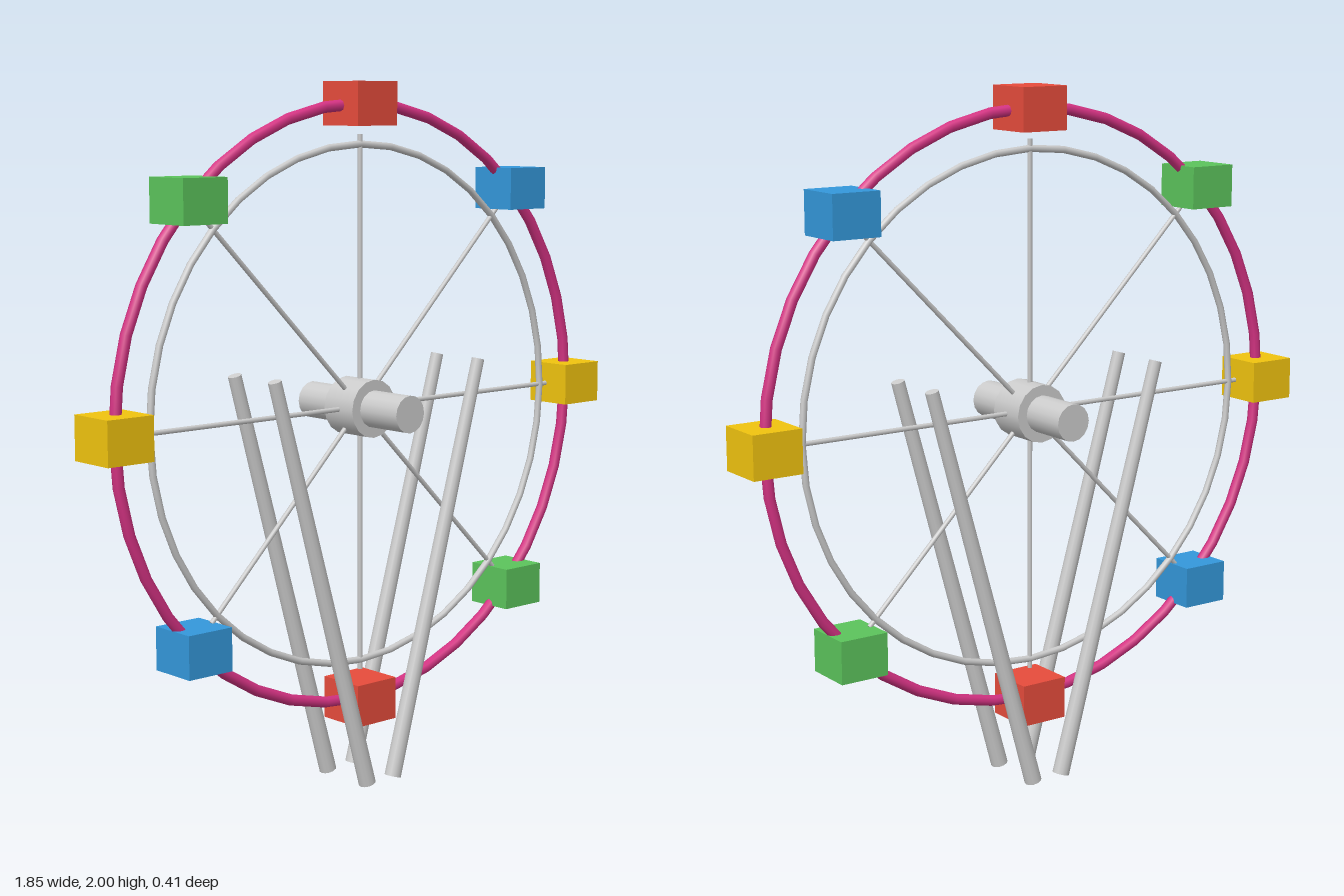
import * as THREE from 'three';

const HUB_Y = 1.088, RIM_R = 0.852;

const material = (color) => new THREE.MeshStandardMaterial({ color });

function add(parent, name, geometry, mat) {
  const mesh = new THREE.Mesh(geometry, mat);
  mesh.name = name;
  parent.add(mesh);
  return mesh;
}

// Tapered round bar running from a to b
function addBar(parent, name, a, b, rA, rB, sides, mat) {
  const dir = b.clone().sub(a);
  const bar = add(parent, name, new THREE.CylinderGeometry(rB, rA, dir.length(), sides), mat);
  bar.position.copy(a).addScaledVector(dir, 0.5);
  bar.quaternion.setFromUnitVectors(new THREE.Vector3(0, 1, 0), dir.normalize());
  return bar;
}

export function createModel() {
  const model = new THREE.Group();
  model.name = 'ferrisWheel';
  const grey = material(0xcccccc);
  const rimPink = material(0xd63384);
  const cabinColors = [0xf1c40f, 0x3498db, 0xe74c3c, 0x5cc45c].map(material);

  const wheel = new THREE.Group();
  wheel.name = 'wheel';
  wheel.position.y = HUB_Y;
  model.add(wheel);

  // Rims
  add(wheel, 'outerRim', new THREE.TorusGeometry(RIM_R, 0.016, 8, 40), rimPink);
  add(wheel, 'innerRim', new THREE.TorusGeometry(0.74, 0.01, 8, 40), grey);

  // Hub and axle along z
  add(wheel, 'hub', new THREE.CylinderGeometry(0.083, 0.083, 0.118, 16), grey).rotation.x = Math.PI / 2;
  add(wheel, 'axle', new THREE.CylinderGeometry(0.053, 0.053, 0.415, 16), grey).rotation.x = Math.PI / 2;

  // Spokes and upright cabins, colours repeating around the rim
  for (let i = 0; i < 8; i++) {
    const angle = (i * Math.PI) / 4;
    const out = new THREE.Vector3(Math.cos(angle), Math.sin(angle), 0);
    addBar(wheel, 'spoke', new THREE.Vector3(), out.clone().multiplyScalar(0.767), 0.007, 0.007, 8, grey);
    const cabin = add(wheel, 'cabin', new THREE.BoxGeometry(0.146, 0.122, 0.146), cabinColors[i % 4]);
    cabin.position.copy(out).multiplyScalar(RIM_R);
  }

  // Support legs, spreading upward on both sides of the wheel
  for (const x of [-1, 1]) {
    for (const z of [-0.086, 0.086]) {
      addBar(model, 'supportLeg', new THREE.Vector3(x * 0.05, 0.009, z),
        new THREE.Vector3(x * 0.386, 1.202, z), 0.025, 0.019, 12, grey);
    }
  }
  return model;
}
